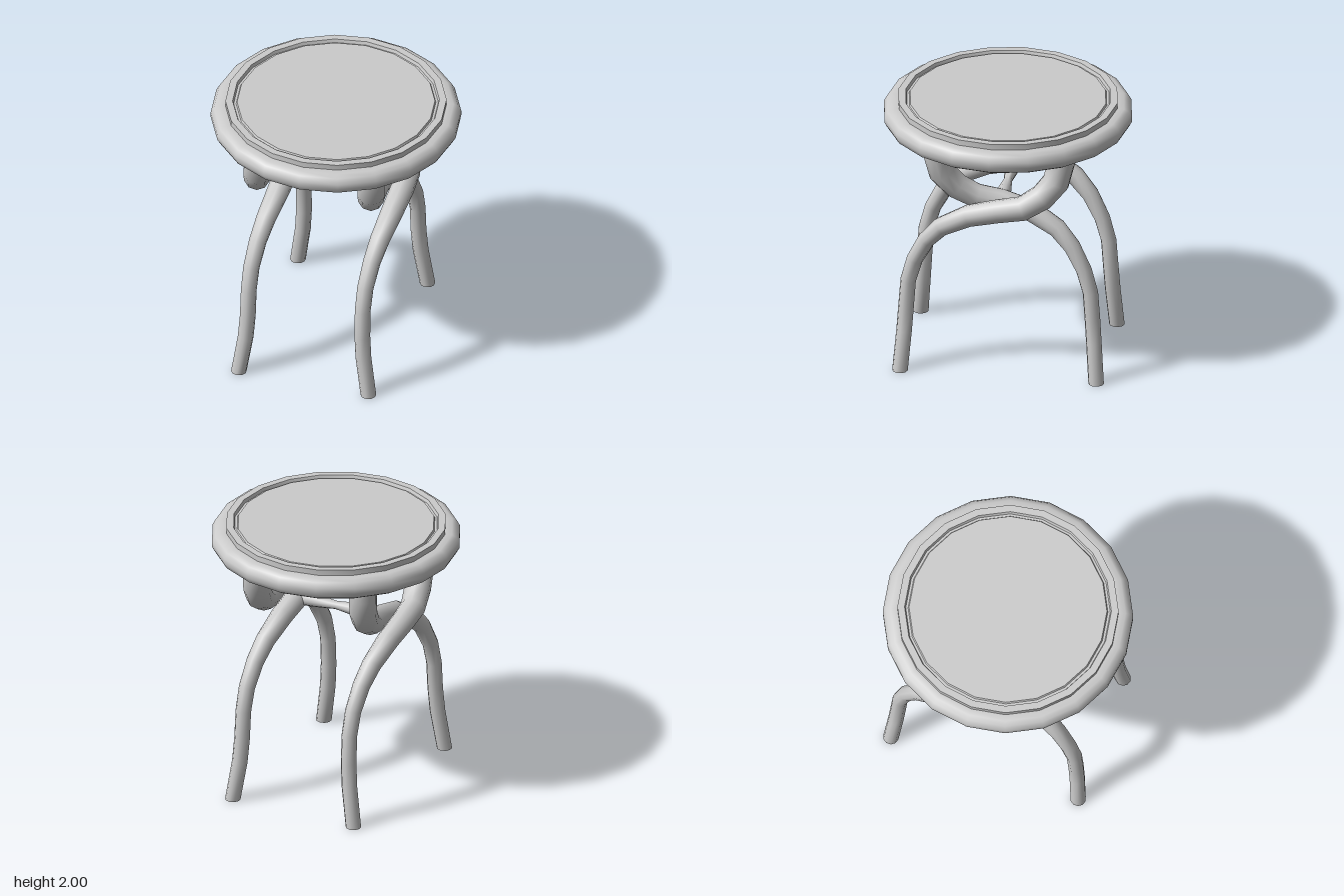
import * as THREE from 'three';
import { toCreasedNormals } from 'three/addons/utils/BufferGeometryUtils.js';

const material = new THREE.MeshStandardMaterial({ color: 0xcccccc });

function addMesh(parent, name, geometry) {
  const mesh = new THREE.Mesh(geometry, material);
  mesh.name = name;
  parent.add(mesh);
  return mesh;
}

// Tube with one ring per point; each point is [x, y, z, radius].
function taperedTube(points, sides) {
  const curve = new THREE.CatmullRomCurve3(points.map(([x, y, z]) => new THREE.Vector3(x, y, z)));
  curve.getPointAt = (t, target) => curve.getPoint(t, target);
  curve.getTangentAt = (t, target) => curve.getTangent(t, target);
  const geometry = new THREE.TubeGeometry(curve, points.length - 1, 1, sides, false);
  const pos = geometry.attributes.position;
  const v = new THREE.Vector3();
  for (let i = 0; i < pos.count; i++) {
    const [x, y, z, r] = points[Math.floor(i / (sides + 1))];
    const centre = new THREE.Vector3(x, y, z);
    v.fromBufferAttribute(pos, i).sub(centre).multiplyScalar(r).add(centre);
    if (y === 0) v.y = 0; // cut the foot level with the floor
    pos.setXYZ(i, v.x, v.y, v.z);
  }
  geometry.computeVertexNormals();
  // share normals across the tube seam
  const n = geometry.attributes.normal;
  const w = new THREE.Vector3();
  for (let i = 0; i < pos.count; i += sides + 1) {
    v.fromBufferAttribute(n, i).add(w.fromBufferAttribute(n, i + sides)).normalize();
    n.setXYZ(i, v.x, v.y, v.z);
    n.setXYZ(i + sides, v.x, v.y, v.z);
  }
  return geometry;
}

// Leg path from foot to seat: sideways bow, height, depth, radius, outward flare
const LEG = [
  [0, 0, 0.705, 0.056, 0.058],
  [0, 0.3, 0.682, 0.056, 0.014],
  [0, 0.48, 0.67, 0.056, 0.002],
  [0, 0.69, 0.655, 0.056, 0],
  [0.005, 0.86, 0.608, 0.058, 0],
  [0.025, 1.03, 0.52, 0.063, 0],
  [0.05, 1.155, 0.41, 0.07, 0],
  [0.08, 1.27, 0.21, 0.08, 0],
  [0.09, 1.326, 0, 0.085, 0],
  [0.078, 1.355, -0.175, 0.09, 0],
  [0.045, 1.44, -0.315, 0.096, 0],
  [0.015, 1.555, -0.41, 0.1, 0],
  [0, 1.7, -0.445, 0.1, 0],
  [0, 1.85, -0.445, 0.1, 0],
];

export function createModel() {
  const model = new THREE.Group();
  model.name = 'stool';

  // Seat: rounded rim, raised lip, groove and inset panel
  const profile = [
    [0, 1.8], [0.835, 1.8], [0.868, 1.82], [0.89, 1.86], [0.89, 1.9],
    [0.868, 1.94], [0.835, 1.958], [0.786, 1.958], [0.786, 2], [0.735, 2],
    [0.727, 1.975], [0.71, 1.975], [0.703, 1.99], [0, 1.99],
  ].map(([r, y]) => new THREE.Vector2(r, y));
  addMesh(model, 'seat', toCreasedNormals(new THREE.LatheGeometry(profile, 20), 0.75));

  // Two pairs of crossing legs; the back one is the front one turned half round
  for (const [side, centre] of [['left', 0.403], ['right', -0.445]]) {
    const pair = new THREE.Group();
    pair.name = side + 'LegPair';
    pair.position.x = centre;
    model.add(pair);
    for (const [end, turn] of [['front', 1], ['back', -1]]) {
      const points = LEG.map(([bow, y, z, r, flare]) =>
        [turn * bow + Math.sign(centre) * flare, y, turn * z, r]);
      addMesh(pair, end + 'Leg', taperedTube(points, 10));
      const sole = addMesh(pair, end + 'Sole', new THREE.CircleGeometry(0.056, 10));
      sole.rotation.x = Math.PI / 2;
      sole.position.set(points[0][0], 0, points[0][2]);
    }
  }

  // Stretcher: narrow waist, thicker ends, lying along x
  const bar = [
    [0, -0.33], [0.052, -0.33], [0.056, -0.26], [0.05, -0.17], [0.03, 0],
    [0.05, 0.17], [0.056, 0.26], [0.052, 0.32], [0, 0.32],
  ].map(([r, y]) => new THREE.Vector2(r, y));
  const stretcher = addMesh(model, 'stretcher', toCreasedNormals(new THREE.LatheGeometry(bar, 10), 0.9));
  stretcher.rotation.z = -Math.PI / 2;
  stretcher.position.y = 1.333;

  return model;
}
